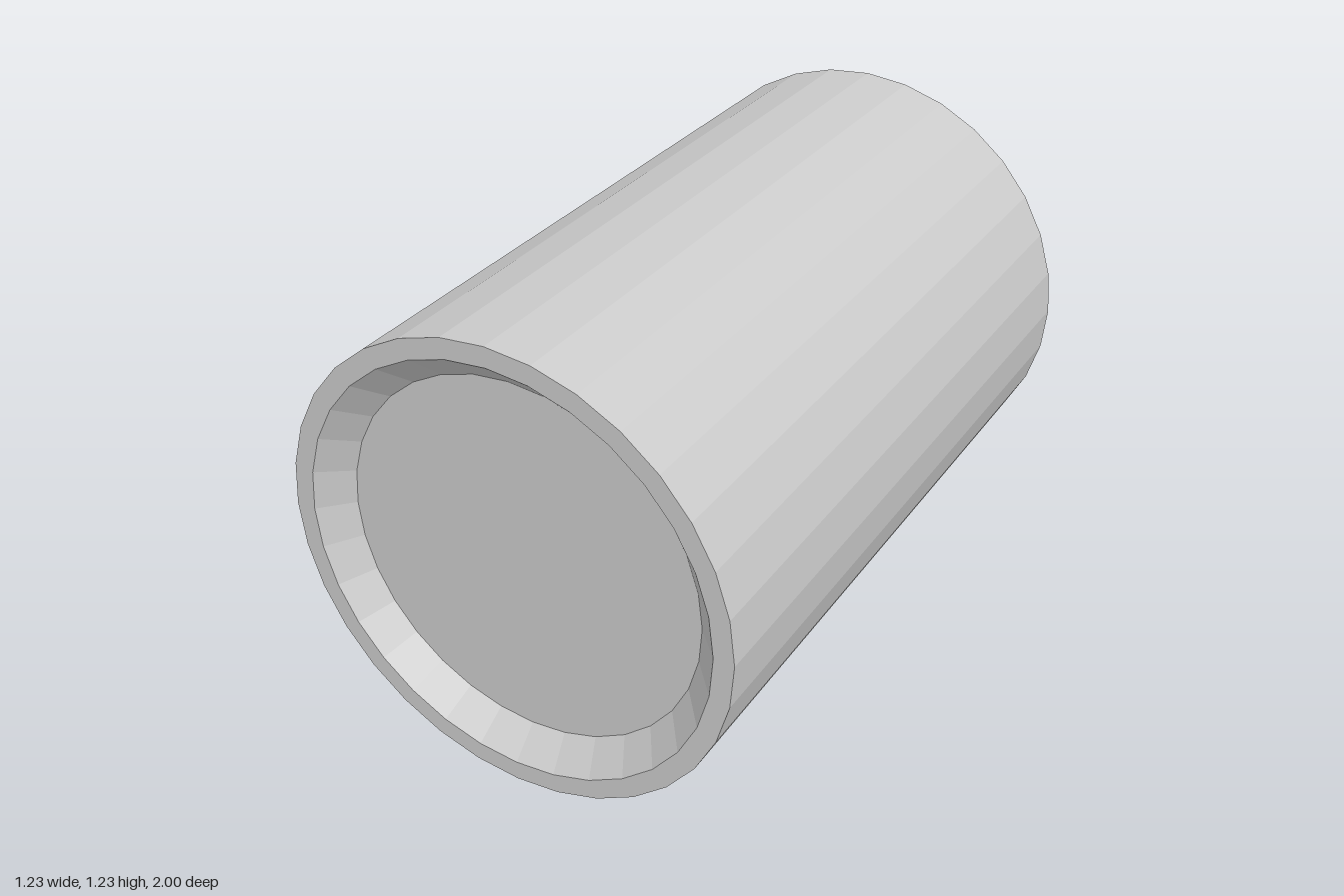
import * as THREE from 'three';

const SIDES = 32;
const RADIUS = 0.613;

// Solid of revolution along z; profile runs from the back centre to the front centre as [radius, z]
function turned(name, profile, material) {
  const points = profile.map(([r, z]) => new THREE.Vector2(r, z));
  const geometry = new THREE.LatheGeometry(points, SIDES).rotateX(Math.PI / 2);
  const mesh = new THREE.Mesh(geometry, material);
  mesh.name = name;
  mesh.position.y = RADIUS;
  return mesh;
}

export function createModel() {
  const group = new THREE.Group();
  group.name = 'batteryCell';
  const grey = new THREE.MeshStandardMaterial({ color: 0xcccccc, flatShading: true });

  // Main casing: flat back, straight wall, thin front rim and bevelled recess
  group.add(turned('casing', [
    [0, -0.84], [RADIUS, -0.84], [RADIUS, 1], [0.56, 1], [0.488, 0.925], [0, 0.925],
  ], grey));

  // Small contact stud on the back
  group.add(turned('contactStud', [
    [0, -1], [0.2, -1], [0.2, -0.84],
  ], grey));

  return group;
}
